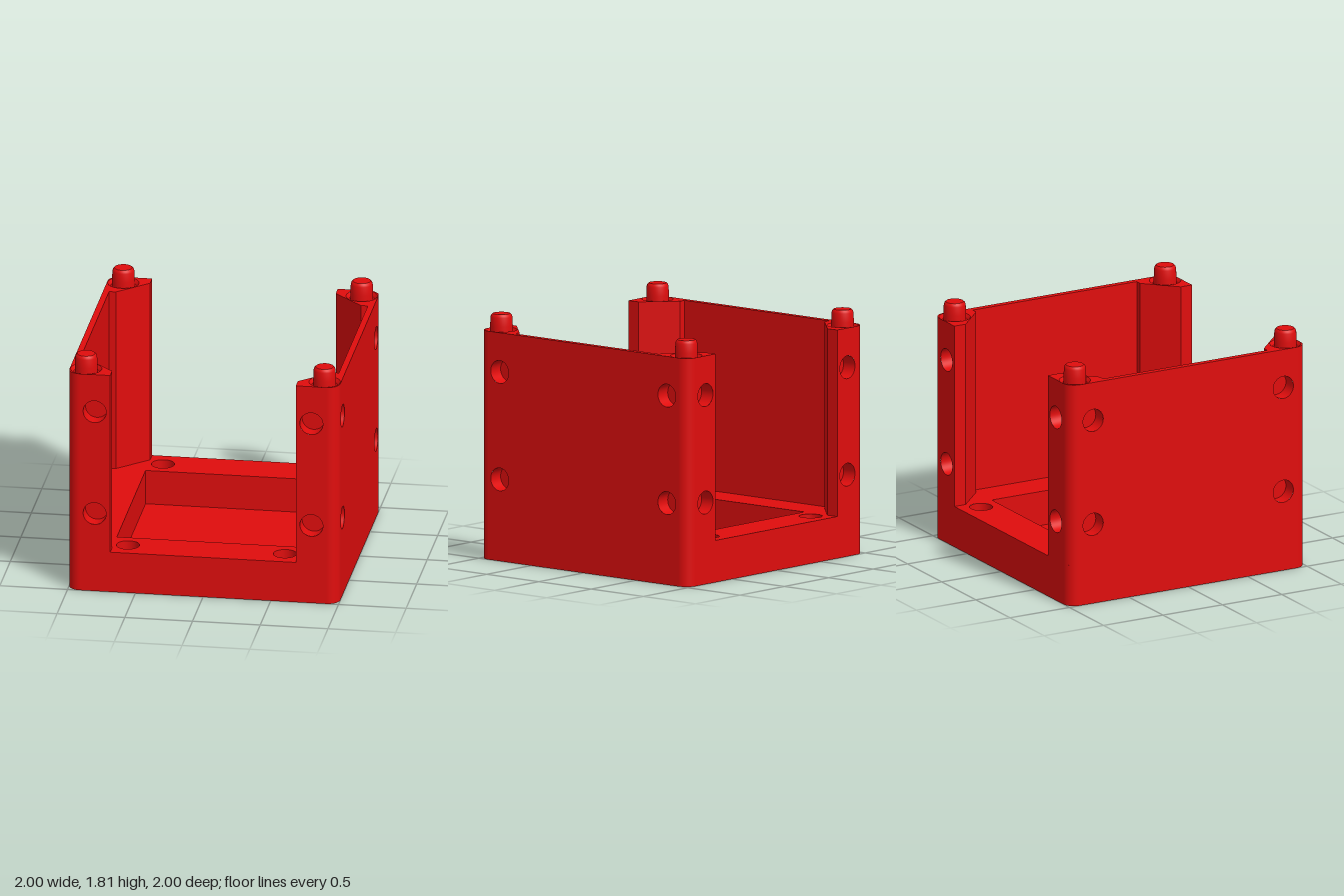
import * as THREE from 'three';
import { toCreasedNormals } from 'three/addons/utils/BufferGeometryUtils.js';

const RED = new THREE.MeshStandardMaterial({ color: 0xe00d0d });
const H = 1.69;        // top of walls
const BASE = 0.31;     // top of base
const FLOOR = 0.05;    // pocket floor
const POCKET = 0.685;  // half width of pocket and front opening
const R = 0.09;        // outer corner radius
const E = 1 - R;       // where the flat faces end
const HOLE = 0.085;    // radius of all screw and magnet holes
const DEPTH = 0.11;    // depth of the blind holes
const SEG = 40;
const SIGNS = [-1, 1];

function add(parent, name, geometry) {
  const mesh = new THREE.Mesh(geometry, RED);
  mesh.name = name;
  parent.add(mesh);
  return mesh;
}

function polygon(points, holes = []) {
  const shape = new THREE.Shape(points.map(([x, y]) => new THREE.Vector2(x, y)));
  return pierce(shape, holes);
}

function pierce(shape, holes) {
  for (const [x, y, r] of holes) {
    shape.holes.push(new THREE.Path().absarc(x, y, r, 0, Math.PI * 2, true));
  }
  return shape;
}

const flat = (shape) => new THREE.ShapeGeometry(shape, SEG);

// Vertical strip along a floor-plan path of [x, z]; it faces the path's right when seen from above
function strip(path, y0, y1) {
  const pos = [];
  for (let i = 0; i < path.length - 1; i++) {
    const [ax, az] = path[i];
    const [bx, bz] = path[i + 1];
    pos.push(ax, y0, az, bx, y0, bz, bx, y1, bz, ax, y0, az, bx, y1, bz, ax, y1, az);
  }
  const geometry = new THREE.BufferGeometry();
  geometry.setAttribute('position', new THREE.Float32BufferAttribute(pos, 3));
  geometry.computeVertexNormals();
  return geometry;
}

function turned(profile) {
  const points = profile.map(([r, y]) => new THREE.Vector2(r, y));
  return toCreasedNormals(new THREE.LatheGeometry(points, SEG), 0.5);
}

function roundedSquare() {
  const s = new THREE.Shape();
  s.absarc(E, E, R, 0, Math.PI / 2, false);
  s.absarc(-E, E, R, Math.PI / 2, Math.PI, false);
  s.absarc(-E, -E, R, Math.PI, Math.PI * 1.5, false);
  s.absarc(E, -E, R, Math.PI * 1.5, Math.PI * 2, false);
  return s;
}

export function createModel() {
  const model = new THREE.Group();
  model.name = 'openBracketBox';

  const screwHoles = [];
  const magnetHoles = [];
  for (const sx of SIGNS) {
    for (const s of SIGNS) screwHoles.push([sx * 0.58, s * 0.835, HOLE]);
    for (const y of [0.605, 1.4]) magnetHoles.push([sx * 0.8, y, HOLE]);
  }

  // Base: underside, deck with square pocket, and screw holes right through
  const base = new THREE.Group();
  base.name = 'base';
  model.add(base);
  add(base, 'underside', flat(pierce(roundedSquare(), screwHoles)).rotateX(Math.PI / 2));

  const P = POCKET;
  const deck = pierce(roundedSquare(), screwHoles);
  deck.holes.push(new THREE.Path([[-P, -P], [-P, P], [P, P], [P, -P]].map(([x, y]) => new THREE.Vector2(x, y))));
  add(base, 'deck', flat(deck).rotateX(-Math.PI / 2)).position.y = BASE;
  add(base, 'pocketFloor', new THREE.PlaneGeometry(2 * P, 2 * P).rotateX(-Math.PI / 2)).position.y = FLOOR;
  add(base, 'pocketWalls', strip([[P, -P], [P, P], [-P, P], [-P, -P], [P, -P]], FLOOR, BASE));
  const bore = turned([[HOLE, BASE], [HOLE, 0]]);
  for (const [x, z] of screwHoles) add(base, 'screwHole', bore).position.set(x, 0, z);

  // Outer faces: U-shaped front and back, plain rectangular sides
  const uFace = flat(polygon(
    [[-E, 0], [E, 0], [E, H], [P, H], [P, BASE], [-P, BASE], [-P, H], [-E, H]], magnetHoles));
  const sideFace = flat(polygon([[-E, 0], [E, 0], [E, H], [-E, H]], magnetHoles));
  const corner = new THREE.CylinderGeometry(R, R, H, 12, 1, true, 0, Math.PI / 2);
  const blindHole = turned([[HOLE, 0], [HOLE, -DEPTH], [0, -DEPTH]]).rotateX(Math.PI / 2);
  const names = ['front', 'left', 'back', 'right'];
  names.forEach((name, i) => {
    const face = new THREE.Group();
    face.name = name + 'Face';
    face.rotation.y = i * Math.PI / 2;
    add(face, name + 'Panel', i % 2 ? sideFace : uFace).position.z = 1;
    add(face, 'roundedCorner', corner).position.set(E, H / 2, E);
    for (const [x, y] of magnetHoles) add(face, 'magnetHole', blindHole).position.set(x, y, 1);
    model.add(face);
  });

  // Each side: thin wall between two chamfered posts, with a peg on each post
  const half = [[0.955, 0.69], [0.905, 0.69], [P, 0.905], [P, 1]];
  const inner = [...half.map(([x, z]) => [x, -z]).reverse(), ...half];
  const rim = new THREE.Shape(inner.map(([x, z]) => new THREE.Vector2(x, z)));
  rim.absarc(E, E, R, Math.PI / 2, 0, true);
  rim.absarc(E, -E, R, 0, -Math.PI / 2, true);
  pierce(rim, SIGNS.map((s) => [0.88, s * 0.885, 0.115]));
  const rimGeometry = flat(rim).rotateX(-Math.PI / 2);
  const innerGeometry = strip(inner, BASE, H);
  // Peg standing in a shallow countersunk seat
  const peg = turned([
    [0.115, 0], [0.095, -0.025], [0.083, -0.025], [0.083, 0.03], [0.08, 0.095],
    [0.075, 0.11], [0.065, 0.12], [0, 0.12]]);
  ['left', 'right'].forEach((name, i) => {
    const side = new THREE.Group();
    side.name = name + 'Wall';
    side.rotation.y = i * Math.PI;
    add(side, 'wallRim', rimGeometry).position.y = H;
    add(side, 'innerWallAndPosts', innerGeometry);
    for (const s of SIGNS) add(side, 'peg', peg).position.set(0.88, H, s * 0.885);
    model.add(side);
  });

  return model;
}
